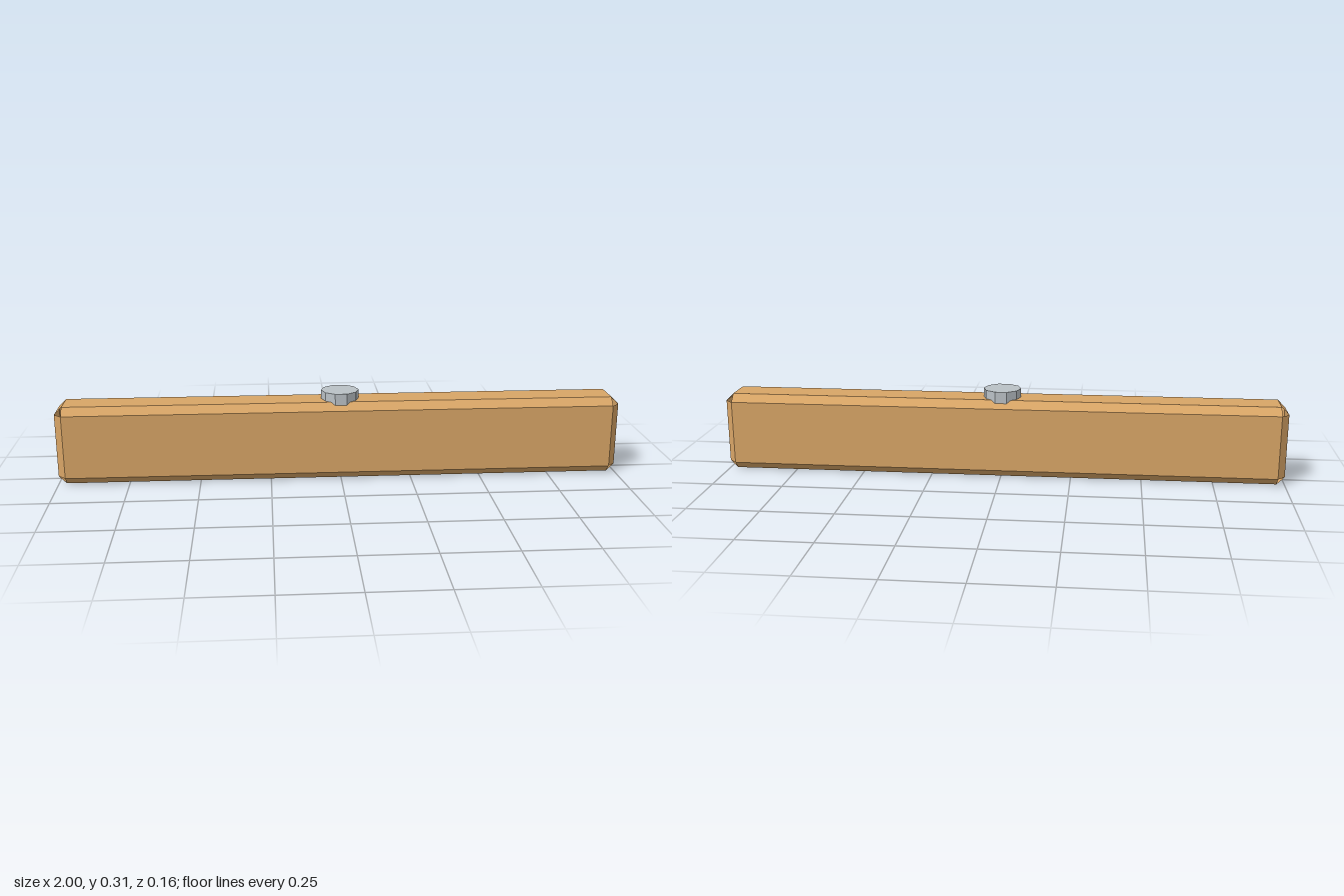
import * as THREE from 'three';

const HALF = [1, 0.14, 0.08]; // half size of the beam along x, y, z
const BEVEL = 0.0267;

// Collects four-sided faces, each wound so that it faces away from the centre
function addQuad(out, corners) {
  const [a, b, c, d] = corners.map((p) => new THREE.Vector3(...p));
  const normal = b.clone().sub(a).cross(c.clone().sub(a));
  const centre = a.clone().add(c);
  const order = normal.dot(centre) > 0 ? [a, b, c, a, c, d] : [a, c, b, a, d, c];
  order.forEach((v) => out.push(v.x, v.y, v.z));
}

// Beam with bevelled edges whose small corner triangles are left open
function bevelledBeam() {
  const out = [];
  const inner = HALF.map((h) => h - BEVEL);
  const point = (axis, signs) => HALF.map((h, i) => signs[i] * (i === axis ? h : inner[i]));
  for (let i = 0; i < 3; i++) {
    const j = (i + 1) % 3;
    const k = (i + 2) % 3;
    const signs = (si, sj, sk) => {
      const s = [];
      s[i] = si;
      s[j] = sj;
      s[k] = sk;
      return s;
    };
    for (const a of [-1, 1]) {
      // Flat side
      addQuad(out, [[-1, -1], [1, -1], [1, 1], [-1, 1]].map(([u, v]) => point(i, signs(a, u, v))));
      // Bevels shared with the next axis
      for (const b of [-1, 1]) {
        addQuad(out, [
          point(i, signs(a, b, -1)), point(i, signs(a, b, 1)),
          point(j, signs(a, b, 1)), point(j, signs(a, b, -1)),
        ]);
      }
    }
  }
  const geometry = new THREE.BufferGeometry();
  geometry.setAttribute('position', new THREE.Float32BufferAttribute(out, 3));
  geometry.computeVertexNormals();
  return geometry;
}

export function createModel() {
  const wood = new THREE.MeshStandardMaterial({ name: 'wood', color: 0xd8a566, flatShading: true, side: THREE.DoubleSide });
  const metal = new THREE.MeshStandardMaterial({ name: 'metal', color: 0xbac1c6, flatShading: true });
  const group = new THREE.Group();
  group.name = 'woodenBeam';

  const beam = new THREE.Mesh(bevelledBeam(), wood);
  beam.name = 'beam';
  beam.position.y = HALF[1];

  // Ten-sided bolt head sunk slightly into the top
  const bolt = new THREE.Mesh(new THREE.CylinderGeometry(0.0667, 0.0667, 0.046, 10), metal);
  bolt.name = 'boltHead';
  bolt.rotation.y = Math.PI / 2;
  bolt.position.y = 0.288;

  group.add(beam, bolt);
  return group;
}
